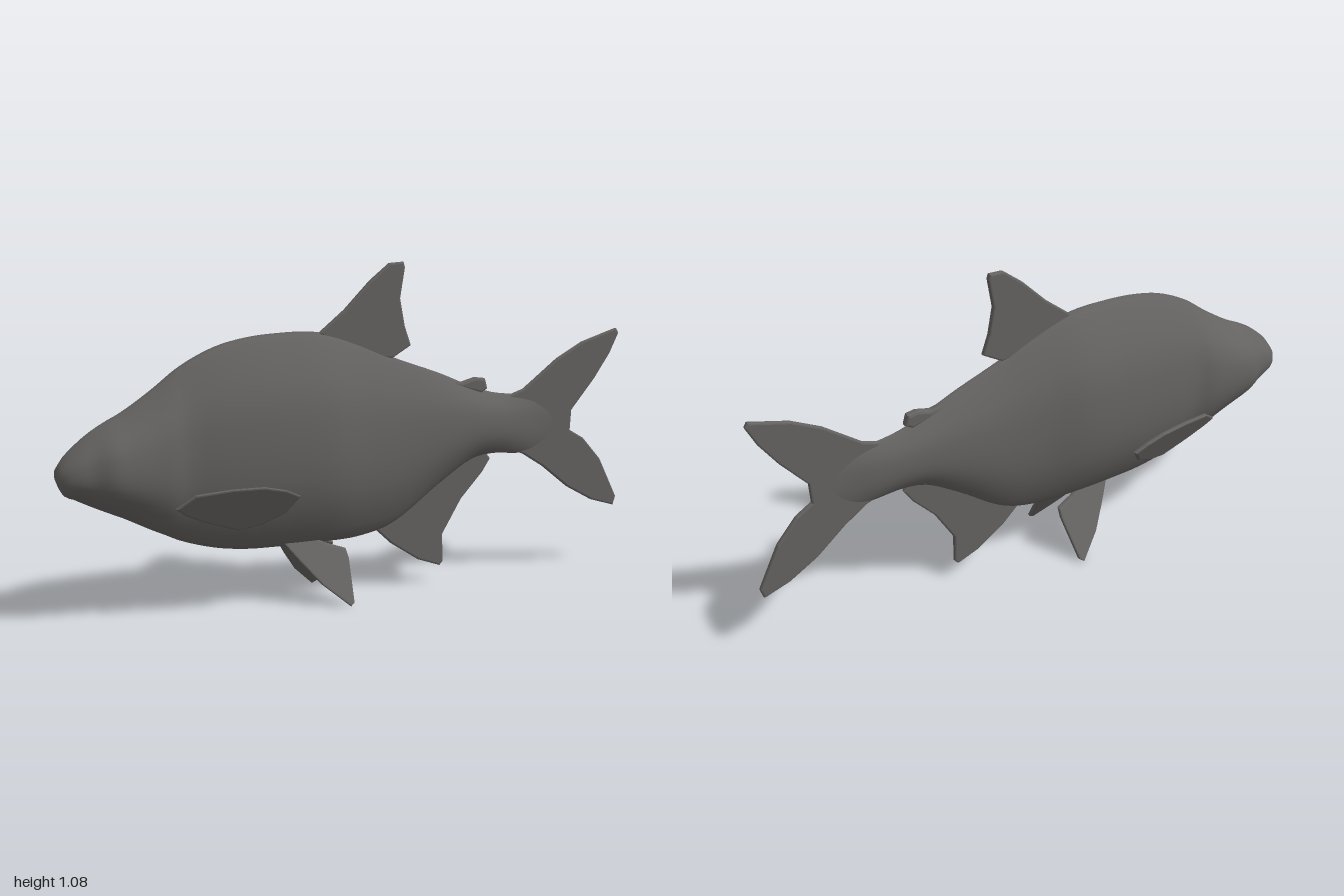
import * as THREE from 'three';

// Body stations: x, top y, bottom y, half width
const STATIONS = [
  [-1, .50, .455, .03], [-.985, .525, .42, .052], [-.95, .56, .40, .075], [-.9, .60, .375, .092],
  [-.85, .63, .352, .117], [-.8, .655, .33, .122], [-.7, .72, .28, .12], [-.66, .75, .262, .117],
  [-.62, .78, .243, .108], [-.5, .84, .207, .122], [-.4, .865, .193, .133], [-.3, .875, .19, .14],
  [-.14, .872, .19, .138], [0, .83, .196, .108], [.12, .78, .228, .09], [.3, .715, .35, .073],
  [.42, .665, .42, .06], [.5, .64, .432, .048], [.6, .628, .425, .03], [.68, .62, .43, .014], [.78, .58, .47, .006],
];
// Half cross-section from belly to back: share of half width, share of height
const SECTION = [[.12, 0], [.36, .035], [.72, .16], [.94, .3], [1, .46], [.9, .68], [.55, .85], [.2, .96]];

function bodyGeometry(rings = 80, sides = 36) {
  const right = SECTION.map(([w, h]) => new THREE.Vector3(0, h, w));
  const left = SECTION.map(([w, h]) => new THREE.Vector3(0, h, -w)).reverse();
  const ring = new THREE.CatmullRomCurve3([...right, new THREE.Vector3(0, 1, 0), ...left], true)
    .getPoints(sides).slice(0, sides);
  const spline = new THREE.CubicInterpolant(STATIONS.map(s => s[0]), STATIONS.flatMap(s => s.slice(1)), 3);
  const pos = [], index = [];
  const first = STATIONS[0][0], last = STATIONS[STATIONS.length - 1][0];
  for (let i = 0; i <= rings; i++) {
    const x = first + (last - first) * Math.pow(i / rings, 1.2);
    const [top, bottom, width] = spline.evaluate(x);
    for (const p of ring) pos.push(x, bottom + (top - bottom) * p.y, width * p.z);
  }
  for (let i = 0; i < rings; i++) {
    for (let j = 0; j < sides; j++) {
      const k = (j + 1) % sides, a = i * sides, b = a + sides;
      index.push(a + j, b + j, b + k, a + j, b + k, a + k);
    }
  }
  // Close the snout
  const nose = pos.length / 3;
  pos.push(first, .478, 0);
  for (let j = 0; j < sides; j++) index.push(nose, j, (j + 1) % sides);
  const g = new THREE.BufferGeometry();
  g.setAttribute('position', new THREE.Float32BufferAttribute(pos, 3));
  g.setIndex(index);
  g.computeVertexNormals();
  return g;
}

// Bevelled plate cut to an outline; lean(x, y) gives the z of its middle plane
function finGeometry(outline, thickness, lean) {
  const shape = new THREE.Shape(outline.map(p => new THREE.Vector2(...p)));
  const bevel = thickness * .3;
  const g = new THREE.ExtrudeGeometry(shape, {
    depth: thickness - 2 * bevel, bevelThickness: bevel, bevelSize: bevel, bevelOffset: -bevel, bevelSegments: 2,
  });
  g.translate(0, 0, bevel - thickness / 2);
  if (lean) {
    const p = g.attributes.position;
    for (let i = 0; i < p.count; i++) p.setZ(i, p.getZ(i) + lean(p.getX(i), p.getY(i)));
    g.computeVertexNormals();
  }
  return g;
}

const TAIL = [[.56, .625], [.62, .645], [.75, .742], [.85, .795], [.985, .836], [.995, .82], [.96, .75], [.9, .665],
  [.81, .56], [.805, .49], [.86, .458], [.93, .38], [1, .24], [.99, .208], [.9, .235], [.8, .29], [.7, .37], [.62, .42], [.56, .44]];
const DORSAL = [[-.14, .868], [-.05, .94], [.04, 1.03], [.11, 1.085], [.16, 1.088], [.165, 1.07], [.148, .97],
  [.165, .88], [.188, .815], [.12, .775], [0, .79]];
const ADIPOSE = [[.33, .69], [.38, .682], [.43, .695], [.465, .69], [.475, .655], [.45, .64], [.34, .67]];
const ANAL = [[.05, .22], [.12, .155], [.22, .09], [.3, .062], [.312, .075], [.31, .17], [.38, .285], [.46, .37],
  [.49, .415], [.47, .44], [.38, .43], [.2, .32]];
const PELVIC = [[-.28, .205], [-.24, .15], [-.18, .075], [-.1, .006], [-.085, .016], [-.067, .14], [-.07, .17],
  [-.13, .19], [-.18, .215]];
const PECTORAL = [[-.665, .365], [-.61, .41], [-.5, .423], [-.4, .425], [-.33, .41], [-.282, .388], [-.32, .33],
  [-.39, .293], [-.46, .278], [-.56, .31], [-.63, .34]];

export function createModel() {
  const group = new THREE.Group();
  const skin = new THREE.MeshStandardMaterial({ color: 0x646260 });
  skin.name = 'dark grey skin';

  const add = (name, geometry) => {
    const mesh = new THREE.Mesh(geometry, skin);
    mesh.name = name;
    group.add(mesh);
  };

  add('body', bodyGeometry());

  // Fins on the middle line
  add('tailFin', finGeometry(TAIL, .018));
  add('dorsalFin', finGeometry(DORSAL, .02));
  add('adiposeFin', finGeometry(ADIPOSE, .03));
  add('analFin', finGeometry(ANAL, .018));

  // Paired fins, splayed outwards on both sides
  for (const [side, s] of [['near', 1], ['far', -1]]) {
    add(side + 'PelvicFin', finGeometry(PELVIC, .02, (x, y) => s * (.03 + (.2 - y) * .67)));
    add(side + 'PectoralFin', finGeometry(PECTORAL, .02,
      (x, y) => s * (.11 + (x + .66) * .15 + (y - .35) * .5)));
  }
  return group;
}
